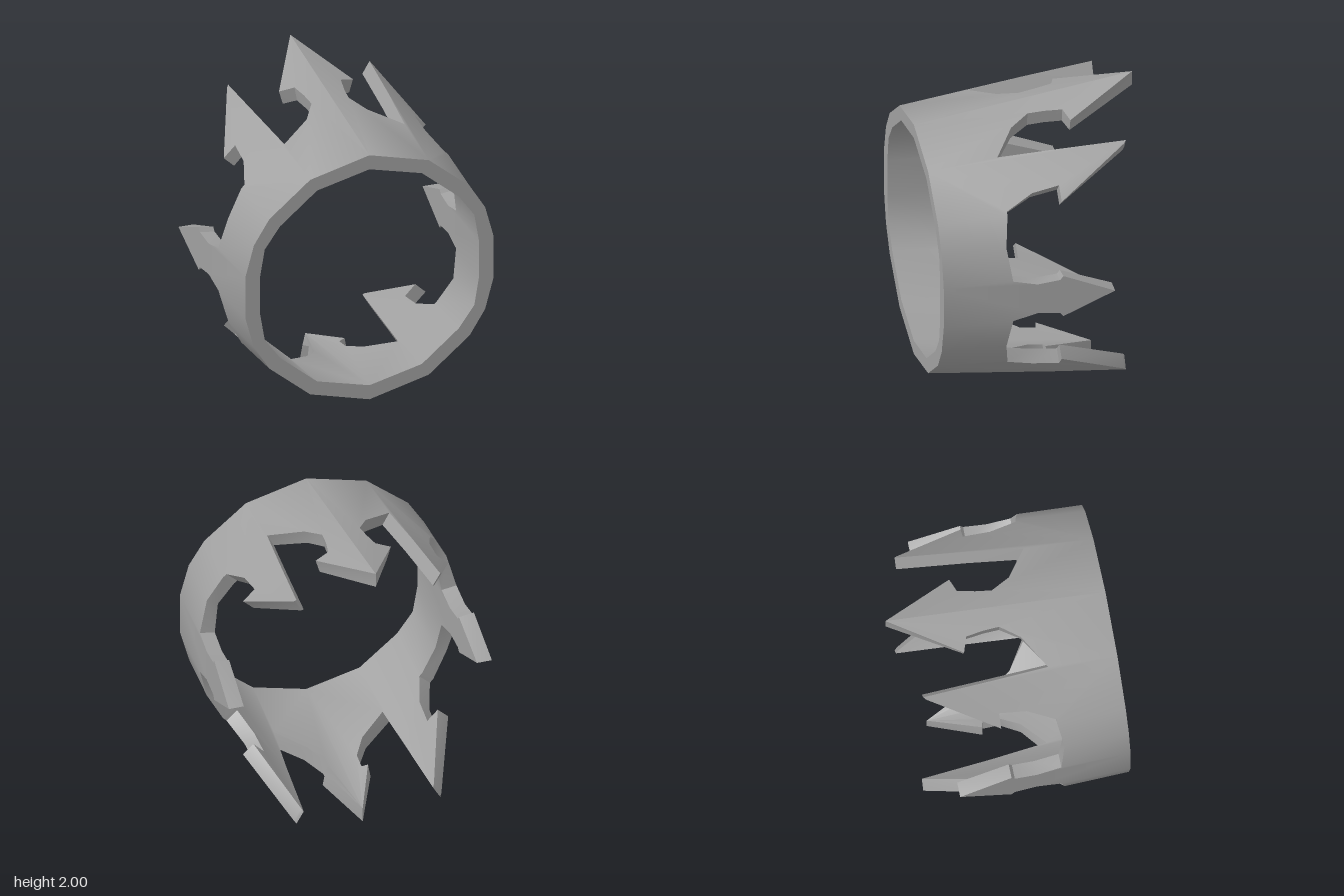
import * as THREE from 'three';
import { toCreasedNormals } from 'three/addons/utils/BufferGeometryUtils.js';

const CENTER_Y = 0.985;
const FRONT = 0.68;

// Front-rim corners of one top quadrant: outer [x, y], inner [x, y], flare per unit depth
const quadrant = [
  { outer: [0, 0.825], inner: [0, 0.73], flare: 0.14 },
  { outer: [0.385, 0.725], inner: [0.34, 0.645], flare: 0.107 },
  { outer: [0.65, 0.505], inner: [0.58, 0.445], flare: 0.06 },
  { outer: [0.75, 0.345], inner: [0.68, 0.305], flare: 0.04 },
  { outer: [0.805, 0.14], inner: [0.71, 0.125], flare: 0.033 },
];
const flip = ({ outer, inner, flare }) => ({ outer: [outer[0], -outer[1]], inner: [inner[0], -inner[1]], flare });
const corners = [...quadrant, ...quadrant.map(flip).reverse()];

// Flat panels of one half, as outlines in [corner index u, z]
const topPanels = [
  // large barbed spike at the top
  [[0, FRONT], [0, -0.68], [0.557, -0.24], [0.35, -0.21], [0.305, -0.1], [0.286, 0],
    [0.475, 0.12], [0.96, 0.25], [1, -0.1], [1, FRONT]],
  // diagonal spike with a single barb
  [[1, FRONT], [1, -0.1], [1.05, -0.535], [1.1, -0.52], [1.88, -0.09], [1.6, -0.09],
    [1.665, 0.08], [1.92, 0.25], [2, 0.252], [2, FRONT]],
  // plain band
  [[2, FRONT], [2, 0.252], [3, 0.28], [3, FRONT]],
  [[3, FRONT], [3, 0.28], [4, 0.25], [4, FRONT]],
];
// side spike
const sidePanel = [[4, FRONT], [4, 0.25], [4.14, 0.1], [4.09, -0.04], [4, -0.06], [4.5, -0.38],
  [5, -0.06], [4.91, -0.04], [4.86, 0.1], [5, 0.25], [5, FRONT]];
// smaller barbed spike at the bottom
const bottomPanel = [[0, FRONT], [0, -0.425], [0.36, -0.11], [0.26, -0.1], [0.27, 0],
  [0.475, 0.12], [0.96, 0.25], [1, -0.1], [1, FRONT]];
const mirrorPanel = (panel) => panel.map(([u, z]) => [9 - u, z]).reverse();
const panels = [...topPanels, sidePanel, ...[bottomPanel, ...topPanels.slice(1)].map(mirrorPanel)];

// Place an outline point on the flared outer or inner wall
function place([u, z], wall) {
  const i = Math.min(Math.floor(u), corners.length - 2);
  const ends = [corners[i], corners[i + 1]].map((c) => {
    const p = new THREE.Vector2(...c[wall]);
    return p.addScaledVector(p.clone().normalize(), c.flare * (FRONT - z));
  });
  const p = ends[0].lerp(ends[1], u - i);
  return new THREE.Vector3(p.x, p.y + CENTER_Y, z);
}

function buildCrown() {
  const positions = [];
  // Every triangle is added together with its mirror image
  const addTriangle = (a, b, c) => {
    for (const p of [a, b, c]) positions.push(p.x, p.y, p.z);
    for (const p of [a, c, b]) positions.push(-p.x, p.y, p.z);
  };
  for (const panel of panels) {
    const flat = panel.map(([u, z]) => new THREE.Vector2(u, z));
    const outer = panel.map((p) => place(p, 'outer'));
    const inner = panel.map((p) => place(p, 'inner'));

    // Outer and inner faces
    for (const tri of THREE.ShapeUtils.triangulateShape(flat, [])) {
      const ccw = THREE.ShapeUtils.area(tri.map((k) => flat[k])) > 0;
      const [a, b, c] = ccw ? tri : [...tri].reverse();
      addTriangle(outer[c], outer[b], outer[a]);
      addTriangle(inner[a], inner[b], inner[c]);
    }

    // Cut edges, skipping seams shared with the next panel
    panel.forEach(([u], k) => {
      const n = (k + 1) % panel.length;
      if (u === panel[n][0] && Number.isInteger(u)) return;
      addTriangle(outer[k], outer[n], inner[n]);
      addTriangle(outer[k], inner[n], inner[k]);
    });
  }
  const geometry = new THREE.BufferGeometry();
  geometry.setAttribute('position', new THREE.Float32BufferAttribute(positions, 3));
  return toCreasedNormals(geometry, THREE.MathUtils.degToRad(35));
}

export function createModel() {
  const group = new THREE.Group();
  group.name = 'crown';
  const metal = new THREE.MeshStandardMaterial({ color: 0xa0a0a0 });
  metal.name = 'grey metal';
  const crown = new THREE.Mesh(buildCrown(), metal);
  crown.name = 'spikedBand';
  group.add(crown);
  return group;
}
